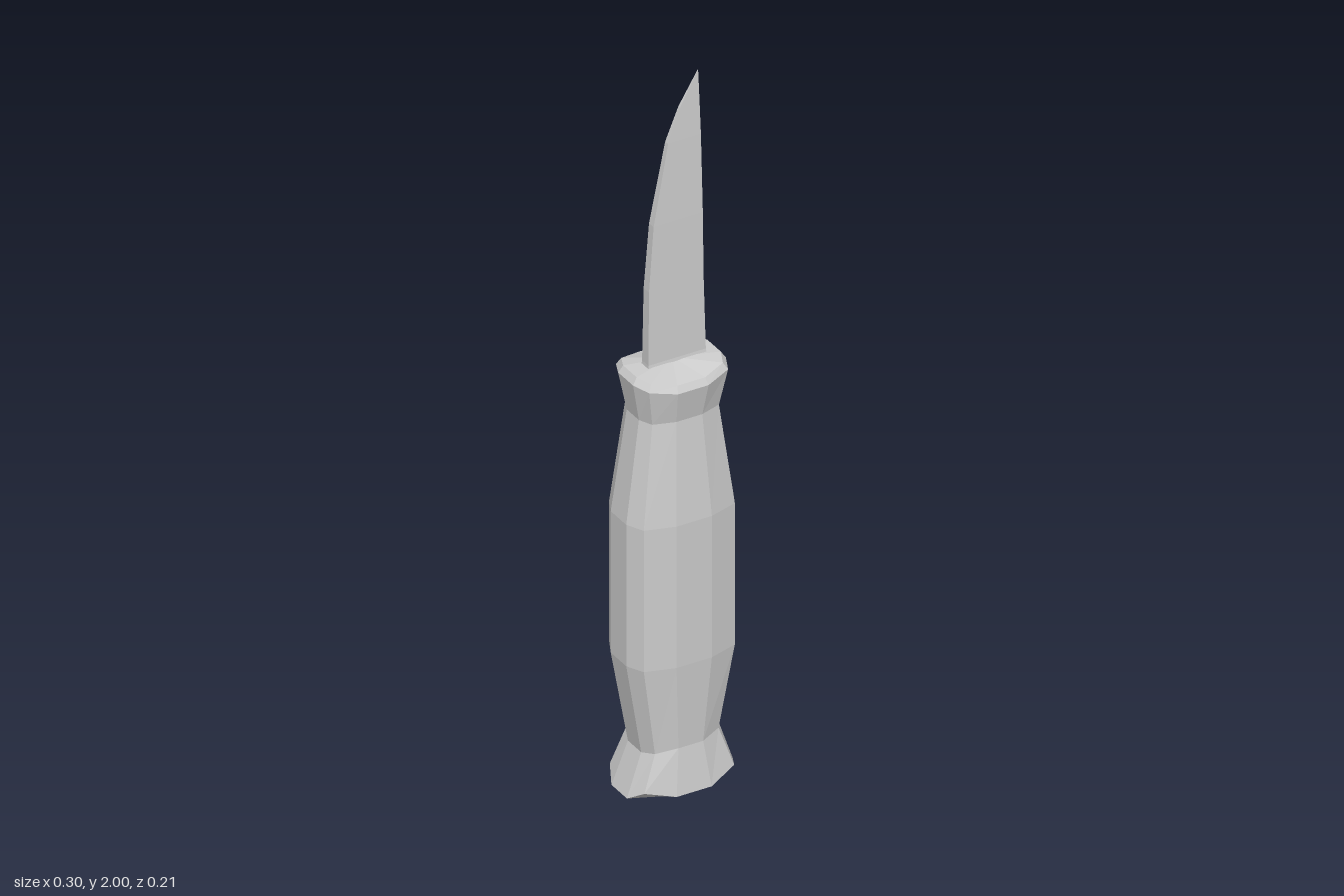
import * as THREE from 'three';

const grey = new THREE.MeshStandardMaterial({ color: 0xcccccc, flatShading: true });
grey.name = 'grey';

// Skin closed rings (anticlockwise seen from above) and close both ends.
function loft(rings, bottom, top) {
  const out = [];
  const tri = (a, b, c) => {
    const v = [a, b, c].map(p => new THREE.Vector3(...p));
    const area = v[1].clone().sub(v[0]).cross(v[2].clone().sub(v[0])).length();
    if (area > 1e-8) out.push(...a, ...b, ...c); // skip collapsed corners
  };
  const n = rings[0].length;
  for (let i = 0; i < n; i++) {
    const j = (i + 1) % n;
    for (let k = 0; k + 1 < rings.length; k++) {
      const [a, b] = [rings[k], rings[k + 1]];
      tri(a[i], a[j], b[j]);
      tri(a[i], b[j], b[i]);
    }
    tri(bottom, rings[0][j], rings[0][i]);
    const last = rings[rings.length - 1];
    if (top) tri(top, last[i], last[j]);
  }
  const g = new THREE.BufferGeometry();
  g.setAttribute('position', new THREE.Float32BufferAttribute(out, 3));
  g.computeVertexNormals();
  return g;
}

// Twelve-sided ring: w and d are half sizes; heights run from the
// broad faces (ySide) through the corners to the right-hand and left-hand ends.
function gripRing(w, d, ySide, yPos = [ySide, ySide], yNeg = yPos, shape = [1, 0.85, 0.33, 0.78, 0.35]) {
  const [end, corner, flat, cornerZ, endZ] = shape;
  const pts = [
    [end, endZ, 2], [end, -endZ, 2], [corner, -cornerZ, 1], [flat, -1, 0],
    [-flat, -1, 0], [-corner, -cornerZ, 1], [-end, -endZ, 2], [-end, endZ, 2],
    [-corner, cornerZ, 1], [-flat, 1, 0], [flat, 1, 0], [corner, cornerZ, 1],
  ];
  return pts.map(([x, z, level]) => {
    const ys = x > 0 ? yPos : yNeg;
    return [x * w, level ? ys[level - 1] : ySide, z * d];
  });
}

export function createModel() {
  const group = new THREE.Group();
  group.name = 'knife';

  // Handle: slanted pommel, pinched necks, swollen grip and bevelled cap
  const handle = new THREE.Mesh(loft([
    gripRing(0.05, 0.035, 0, [0, 0], [0, 0], [1, 1, 1, 1, 1]),
    gripRing(0.148, 0.106, 0.035, [0.06, 0.05], [0.055, 0.025]),
    gripRing(0.105, 0.09, 0.16, [0.17, 0.18], [0.15, 0.14]),
    gripRing(0.15, 0.106, 0.4),
    gripRing(0.15, 0.106, 0.8),
    gripRing(0.11, 0.083, 1.08),
    gripRing(0.13, 0.102, 1.17, [1.182, 1.187]),
    gripRing(0.118, 0.092, 1.188, [1.2, 1.205]),
  ], [0, 0, 0], [0, 1.21, 0]), grey);
  handle.name = 'handle';

  // Blade stations: height, cutting edge x, spine x, half thickness
  const stations = [
    [1.195, -0.077, 0.088, 0.018], [1.215, -0.075, 0.086, 0.015],
    [1.42, -0.072, 0.081, 0.013], [1.6, -0.058, 0.08, 0.011],
    [1.82, -0.015, 0.077, 0.007], [1.91, 0.02, 0.075, 0.004],
    [2, 0.072, 0.073, 0.0005],
  ];
  const blade = new THREE.Mesh(loft(
    stations.map(([y, e, s, t]) => [[s, y, t], [s, y, -t], [e, y, -t], [e, y, t]]),
    [0, 1.195, 0], [0.0725, 2, 0]), grey);
  blade.name = 'blade';

  group.add(handle, blade);
  return group;
}
